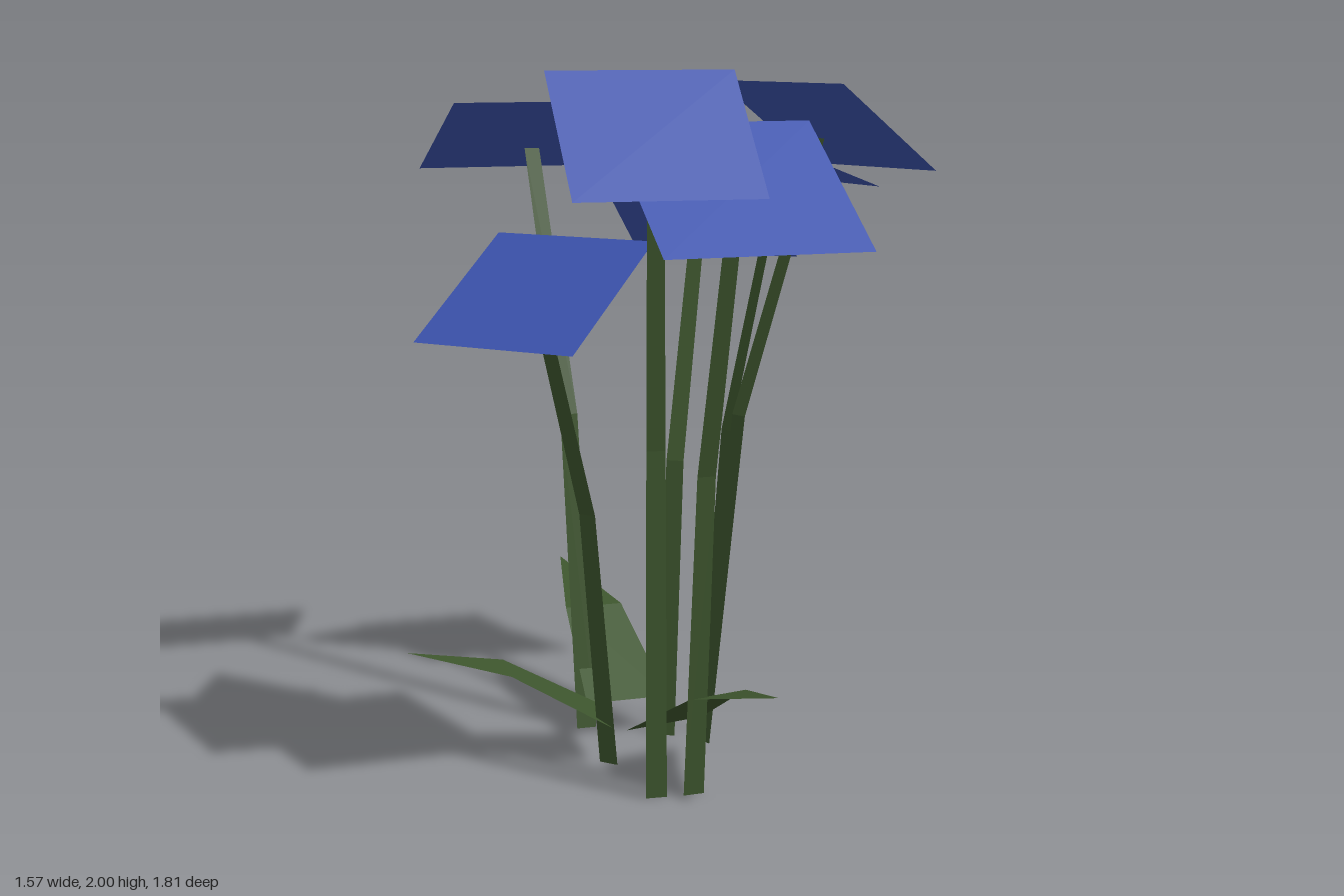
import * as THREE from 'three';

const bloomBlue = new THREE.MeshStandardMaterial({ color: 0x3c53ad, side: THREE.DoubleSide });
bloomBlue.name = 'bloomBlue';
const stemGreen = new THREE.MeshStandardMaterial({ color: 0x3d552d, side: THREE.DoubleSide });
stemGreen.name = 'stemGreen';

// Flat-shaded strip joining cross-sections, each given as [left, right] points
function strip(name, sections, material) {
  const pos = [];
  for (let i = 0; i < sections.length - 1; i++) {
    const [a, b] = sections[i];
    const [c, d] = sections[i + 1];
    for (const p of [a, b, d, a, d, c]) pos.push(p.x, p.y, p.z);
  }
  const geo = new THREE.BufferGeometry();
  geo.setAttribute('position', new THREE.Float32BufferAttribute(pos, 3));
  geo.computeVertexNormals();
  const mesh = new THREE.Mesh(geo, material);
  mesh.name = name;
  return mesh;
}

const vec = (p) => new THREE.Vector3(...p);

// Section of the given width around a centre point
function section(centre, dir, width) {
  return [
    centre.clone().addScaledVector(dir, -width / 2),
    centre.clone().addScaledVector(dir, width / 2),
  ];
}

// inner: the two raised inner corners (x, z) and their height
// outer: the two lower outer corners and their height
// base: where the stem meets the ground (x, z)
const flowers = [
  { inner: [-0.504, 0.393, -0.002, 0.45, 2.0], outer: [-0.542, 0.745, -0.046, 0.802, 1.69], base: [-0.19, 0.36] },
  { inner: [-0.363, 0.476, 0.2, 0.476, 1.866], outer: [-0.363, 0.905, 0.2, 0.905, 1.56], base: [-0.083, 0.37] },
  { inner: [-0.473, -0.169, -0.147, 0.227, 1.534], outer: [-0.788, 0.089, -0.462, 0.482, 1.27], base: [-0.222, 0.037] },
  { inner: [0.002, -0.292, -0.56, -0.311, 1.893], outer: [0.017, -0.773, -0.547, -0.793, 1.677], base: [-0.18, -0.3] },
  { inner: [0.31, -0.09, -0.102, -0.396, 1.677], outer: [0.542, -0.393, 0.13, -0.696, 1.405], base: [0.02, -0.152] },
  { inner: [0.3, 0.008, 0.205, -0.431, 1.777], outer: [0.671, -0.08, 0.576, -0.518, 1.64], base: [0.137, -0.142] },
  { inner: [0.414, 0.219, 0.219, -0.248, 1.952], outer: [0.783, 0.065, 0.588, -0.402, 1.693], base: [0.105, -0.058] },
];

function makeFlower({ inner, outer, base }) {
  const flower = new THREE.Group();
  flower.name = 'flower';
  const row = ([x1, z1, x2, z2, y]) => [vec([x1, y, z1]), vec([x2, y, z2])];
  const top = row(inner);
  const low = row(outer);
  flower.add(strip('bloom', [low, top], bloomBlue));

  // Ribbon stem, bent outward a little above half height
  const centre = new THREE.Vector3();
  for (const p of [...top, ...low]) centre.addScaledVector(p, 0.25);
  const foot = vec([base[0], 0, base[1]]);
  const tip = centre.clone().lerp(vec([base[0], centre.y, base[1]]), 0.06);
  tip.y -= 0.037;
  const knee = foot.clone().lerp(tip, 0.31);
  knee.y = tip.y * 0.55;
  const dir = top[1].clone().sub(top[0]).normalize();
  flower.add(strip('stem', [
    section(foot, dir, 0.06),
    section(knee, dir, 0.053),
    section(tip, dir, 0.045),
  ], stemGreen));
  return flower;
}

// Leaf centre lines: base, middle, tip
const leaves = [
  [[-0.203, 0.115, -0.06], [-0.485, 0.275, -0.1], [-0.769, 0.338, -0.137]],
  [[-0.065, 0.115, 0.078], [-0.012, 0.283, 0.375], [0.045, 0.352, 0.667]],
  [[-0.088, 0.112, -0.187], [-0.078, 0.315, -0.54], [-0.072, 0.388, -0.905]],
];

function makeLeaf(points) {
  const [base, middle, tip] = points.map(vec);
  const run = tip.clone().sub(base);
  const dir = new THREE.Vector3(run.z, 0, -run.x).normalize();
  return strip('leaf', [
    section(base, dir, 0.252),
    section(middle, dir, 0.18),
    section(tip, dir, 0.002),
  ], stemGreen);
}

export function createModel() {
  const model = new THREE.Group();
  model.name = 'flowerCluster';
  for (const f of flowers) model.add(makeFlower(f));
  for (const l of leaves) model.add(makeLeaf(l));
  return model;
}
